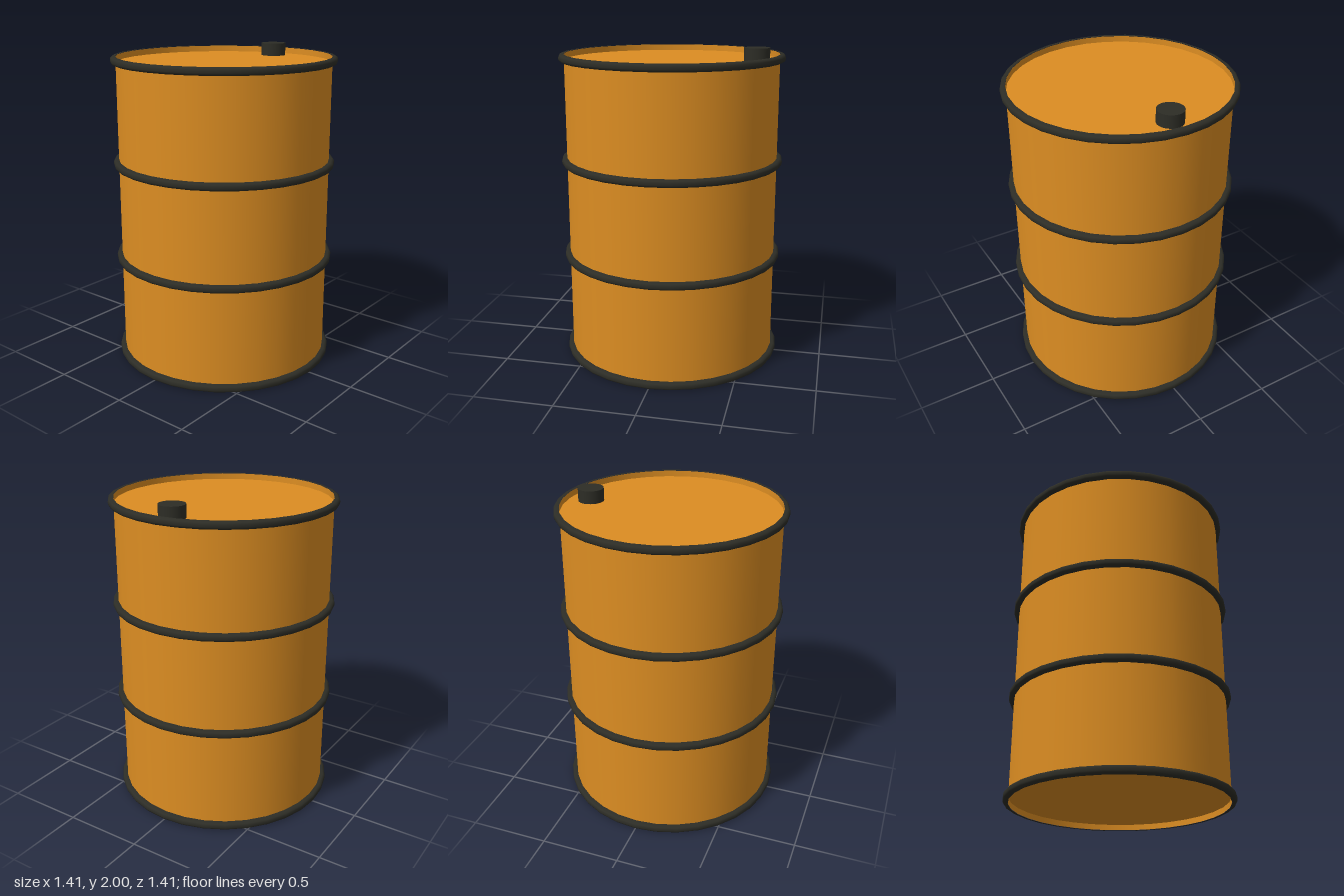
import * as THREE from 'three';

const SEGMENTS = 32;
const RADIUS = 0.672;

export function createModel() {
  const group = new THREE.Group();
  const orange = new THREE.MeshStandardMaterial({ color: 0xdc8d22, side: THREE.DoubleSide });
  const black = new THREE.MeshStandardMaterial({ color: 0x2d2d26 });

  const add = (name, geometry, material, x, y) => {
    const mesh = new THREE.Mesh(geometry, material);
    mesh.name = name;
    mesh.position.set(x, y, 0);
    group.add(mesh);
    return mesh;
  };

  // Thin drum wall, standing proud of both end plates
  add('drumWall', new THREE.CylinderGeometry(RADIUS, RADIUS, 1.956, SEGMENTS, 1, true), orange, 0, 0.98);

  // Recessed end plates
  add('lid', new THREE.CircleGeometry(RADIUS, SEGMENTS, Math.PI / 2), orange, 0, 1.92).rotation.x = -Math.PI / 2;
  add('bottomPlate', new THREE.CircleGeometry(RADIUS, SEGMENTS, Math.PI / 2), orange, 0, 0.038).rotation.x = Math.PI / 2;

  // Rounded hoops wrapped around the outside of the wall
  const half = 0.023;
  const profile = [
    [RADIUS, -half], [0.69, -half], [0.701, -0.017], [0.705, -0.007],
    [0.705, 0.007], [0.701, 0.017], [0.69, half], [RADIUS, half],
  ].map(([r, y]) => new THREE.Vector2(r, y));
  const hoop = new THREE.LatheGeometry(profile, SEGMENTS);
  const hoops = { bottomHoop: half, lowerHoop: 0.671, upperHoop: 1.291, topHoop: 1.937 };
  for (const [name, y] of Object.entries(hoops)) add(name, hoop, black, 0, y);

  // Filler cap near the left edge of the lid
  add('fillerCap', new THREE.CylinderGeometry(0.08, 0.08, 0.08, SEGMENTS), black, 0.53, 1.96);

  return group;
}
